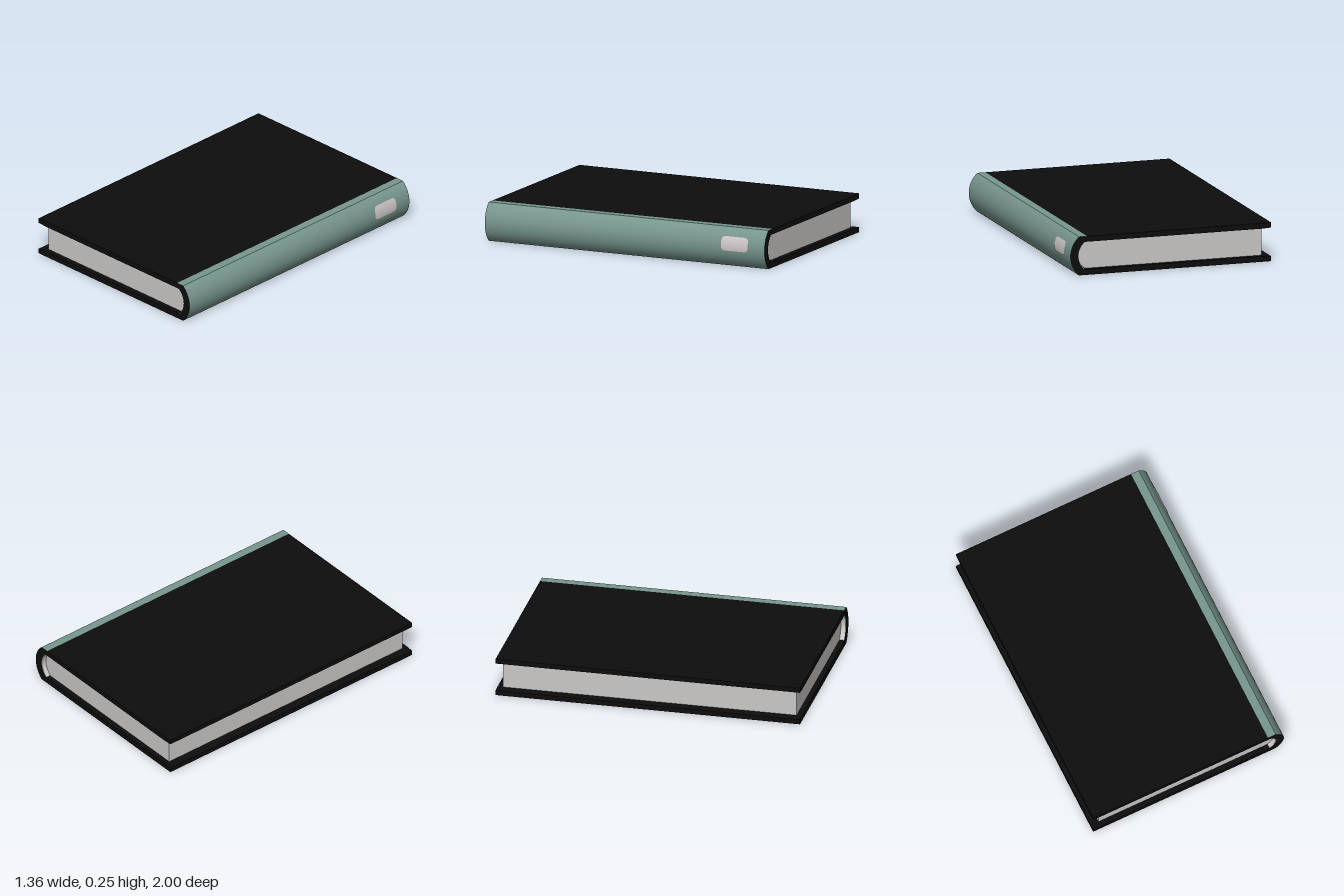
import * as THREE from 'three';
import { toCreasedNormals } from 'three/addons/utils/BufferGeometryUtils.js';

const H = 0.253, CY = H / 2, CX = 0.511; // height and centre of the rounded spine
const R_OUT = 0.167, R_IN = 0.1155;

function mat(name, color) {
  const m = new THREE.MeshStandardMaterial({ color });
  m.name = name;
  return m;
}

// Points on an arc about the spine centre, from the half-height -h to +h
function arc(r, h, n = 20) {
  const a = Math.asin(h / r), pts = [];
  for (let i = 0; i <= n; i++) {
    const t = -a + (2 * a * i) / n;
    pts.push([CX + r * Math.cos(t), CY + r * Math.sin(t)]);
  }
  return pts;
}

// Extrude a profile along z, centred on z = 0
function slab(name, pts, length, material) {
  const shape = new THREE.Shape(pts.map(([x, y]) => new THREE.Vector2(x, y)));
  const g = new THREE.ExtrudeGeometry(shape, { depth: length, bevelEnabled: false });
  g.translate(0, 0, -length / 2);
  const mesh = new THREE.Mesh(toCreasedNormals(g, 0.4), material);
  mesh.name = name;
  return mesh;
}

export function createModel() {
  const book = new THREE.Group();
  book.name = 'book';
  const black = mat('black cover', 0x0d0d0d);
  const teal = mat('teal spine cloth', 0x78978f);
  const paper = mat('paper', 0xcac8c6);
  const pale = mat('pale label', 0xd0c8c8);

  // Cover: two boards joined by the rounded spine
  const skin = 0.002, out = CY - skin, inner = CY - 0.036;
  book.add(slab('cover', [
    [-0.68, skin], ...arc(R_OUT - skin, out), [-0.68, H - skin],
    [-0.68, H - 0.032], [-0.625, H - 0.036],
    ...arc(R_IN, inner).reverse(),
    [-0.625, 0.036], [-0.68, 0.032],
  ], 2, black));

  // Outer skin of each board, up to the hinge
  const hinge = 0.565;
  for (const y of [0, H - skin]) {
    book.add(slab('boardFace', [[-0.68, y], [hinge, y], [hinge, y + skin], [-0.68, y + skin]], 2, black));
  }

  // Cloth wrapped round the spine, with black end edges
  book.add(slab('spineCloth', [
    [hinge, 0], ...arc(R_OUT, CY), [hinge, H],
    [hinge, H - skin], ...arc(R_OUT - skin, out).reverse(), [hinge, skin],
  ], 2, [black, teal]));

  // Paper lining inside the spine
  book.add(slab('spineLining', [
    ...arc(R_IN, inner), ...arc(R_IN - 0.004, inner - 0.001).reverse(),
  ], 1.99, paper));

  // Page block, set back from the board edges
  book.add(slab('pages', [
    [-0.625, 0.036], ...arc(R_IN - 0.008, inner), [-0.625, H - 0.036],
  ], 1.93, paper));

  // Rounded label bent over the spine
  const y0 = 0.107, y1 = 0.199, zMid = -0.785, half = 0.095, corner = 0.026;
  const g = new THREE.PlaneGeometry(2, 1, 1, 32);
  const p = g.attributes.position;
  for (let i = 0; i < p.count; i++) {
    const y = y0 + (p.getY(i) + 0.5) * (y1 - y0);
    const d = Math.max(0, corner - Math.min(y - y0, y1 - y));
    const w = half - corner + Math.sqrt(Math.max(0, corner * corner - d * d));
    const r = R_OUT + 0.003;
    p.setXYZ(i, CX + Math.sqrt(r * r - (y - CY) ** 2), y, zMid - p.getX(i) * w);
  }
  g.computeVertexNormals();
  const label = new THREE.Mesh(g, pale);
  label.name = 'spineLabel';
  book.add(label);

  return book;
}
